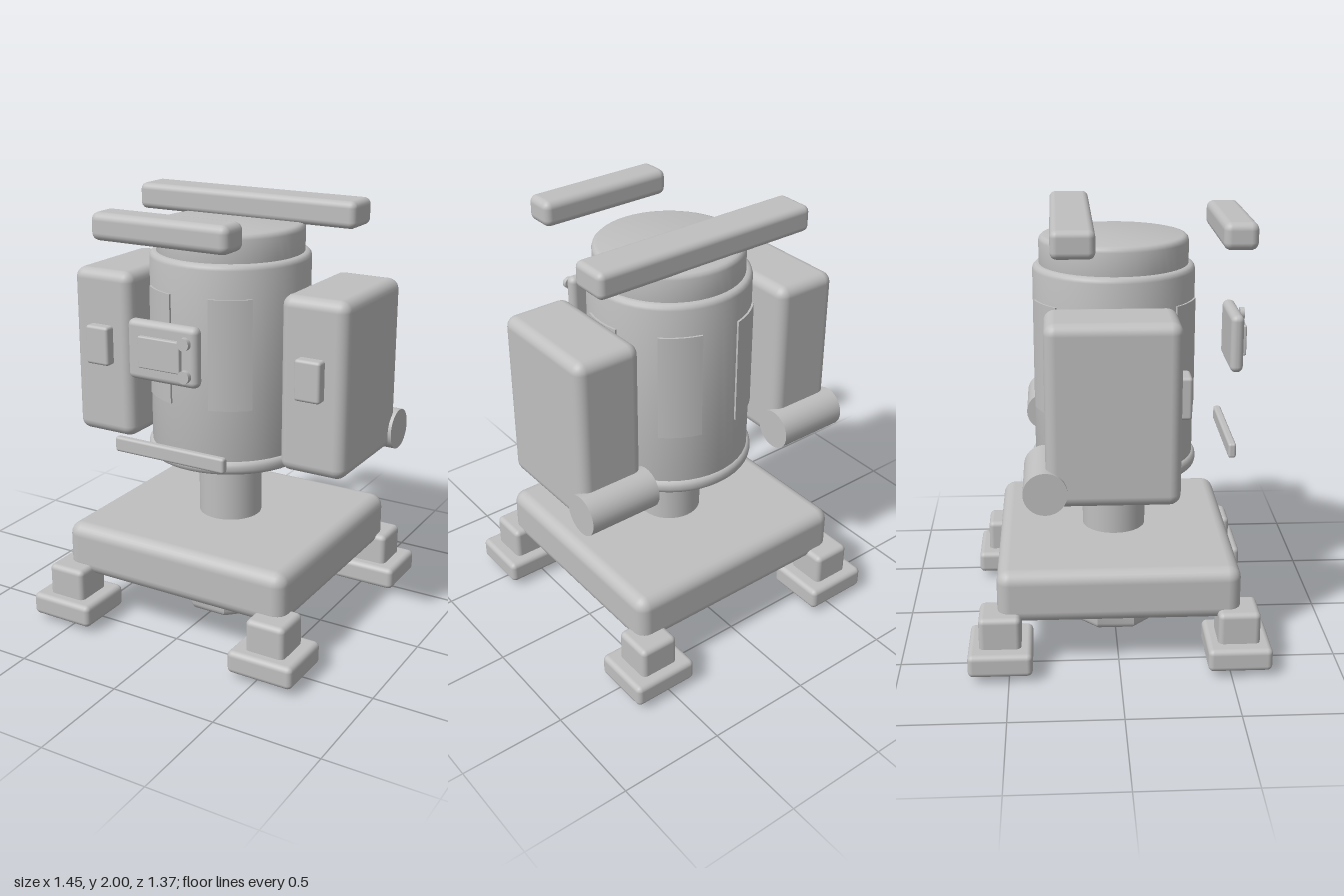
import * as THREE from 'three';
import { RoundedBoxGeometry } from 'three/addons/geometries/RoundedBoxGeometry.js';
import { toCreasedNormals } from 'three/addons/utils/BufferGeometryUtils.js';

const grey = new THREE.MeshStandardMaterial({ color: 0xbfbfbf });
grey.name = 'plain grey';

function add(parent, name, geometry, x = 0, y = 0, z = 0) {
  const mesh = new THREE.Mesh(geometry, grey);
  mesh.name = name;
  mesh.position.set(x, y, z);
  parent.add(mesh);
  return mesh;
}

// Rounded box given by its limits on each axis
function box(parent, name, [x0, x1], [y0, y1], [z0, z1], radius) {
  const geometry = new RoundedBoxGeometry(x1 - x0, y1 - y0, z1 - z0, 3, radius);
  return add(parent, name, geometry, (x0 + x1) / 2, (y0 + y1) / 2, (z0 + z1) / 2);
}

// Turned solid with rounded rims, closed at both ends
function drum(radius, y0, y1, bevel, sides, phase = 0) {
  const points = [new THREE.Vector2(0, y0)];
  for (let i = 0; i <= 3; i++) {
    const a = (i / 3) * Math.PI / 2;
    points.push(new THREE.Vector2(radius - bevel + bevel * Math.sin(a), y0 + bevel - bevel * Math.cos(a)));
  }
  for (let i = 0; i <= 3; i++) {
    const a = (i / 3) * Math.PI / 2;
    points.push(new THREE.Vector2(radius - bevel + bevel * Math.cos(a), y1 - bevel + bevel * Math.sin(a)));
  }
  points.push(new THREE.Vector2(0, y1));
  return toCreasedNormals(new THREE.LatheGeometry(points, sides, phase), 0.7);
}

// Curved plate wrapped around the body, centred on +z
function curvedPanel(inner, outer, halfAngle, height) {
  const shape = new THREE.Shape();
  const mid = -Math.PI / 2;
  shape.absarc(0, 0, outer, mid - halfAngle, mid + halfAngle, false);
  shape.absarc(0, 0, inner, mid + halfAngle, mid - halfAngle, true);
  const geometry = new THREE.ExtrudeGeometry(shape, { depth: height, bevelEnabled: false, curveSegments: 8 });
  geometry.rotateX(-Math.PI / 2);
  return toCreasedNormals(geometry, 0.6);
}

export function createModel() {
  const model = new THREE.Group();
  model.name = 'machine';

  // Base, post and bottom nozzle
  box(model, 'baseSlab', [-0.58, 0.58], [0.23, 0.48], [-0.55, 0.55], 0.06);
  add(model, 'post', new THREE.CylinderGeometry(0.15, 0.15, 0.66, 32), 0, 0.5, 0);
  add(model, 'bottomNozzle', drum(0.232, 0, 0.195, 0.03, 8, Math.PI / 8));

  // Four stepped feet
  for (const sx of [-1, 1]) {
    for (const sz of [-1, 1]) {
      const foot = new THREE.Group();
      foot.name = (sz > 0 ? 'front' : 'back') + (sx > 0 ? 'Left' : 'Right') + 'Foot';
      foot.position.set(sx * 0.535, 0, sz * 0.538);
      box(foot, 'footPad', [-0.16, 0.16], [0.03, 0.138], [-0.145, 0.145], 0.025);
      box(foot, 'footLeg', [-0.095, 0.095], [0.1, 0.285], [-0.095, 0.095], 0.025);
      model.add(foot);
    }
  }

  // Drum body with bottom lip and top cap
  add(model, 'body', drum(0.37, 0.815, 1.76, 0.025, 48));
  add(model, 'bottomLip', drum(0.387, 0.8, 0.865, 0.025, 48));
  add(model, 'topCap', drum(0.34, 1.7, 1.888, 0.025, 48));

  // Six curved panels around the body
  for (let i = 0; i < 6; i++) {
    const panel = add(model, 'bodyPanel', curvedPanel(0.36, 0.379, Math.PI / 12, 0.505), 0, 1.105, 0);
    panel.rotation.y = Math.PI / 6 + i * Math.PI / 3;
  }

  // Side pods, each with a front plate and a rear cylinder
  for (const s of [-1, 1]) {
    const pod = new THREE.Group();
    pod.name = s > 0 ? 'leftPod' : 'rightPod';
    pod.position.x = s * 0.55;
    box(pod, 'podCase', [-0.16, 0.16], [0.843, 1.645], [-0.32, 0.255], 0.05);
    box(pod, 'podPlate', [-0.062, 0.062], [1.2, 1.387], [0.22, 0.304], 0.014);
    const cylinder = add(pod, 'rearCylinder', new THREE.CylinderGeometry(0.095, 0.095, 0.352, 32), 0, 0.92, -0.323);
    cylinder.rotation.z = Math.PI / 2;
    model.add(pod);
  }

  // Bars above the body
  box(model, 'topBar', [-0.565, 0.565], [1.878, 2.0], [-0.288, -0.1], 0.03);
  box(model, 'frontBar', [-0.337, 0.337], [1.865, 1.987], [0.457, 0.61], 0.035);

  // Front control panel with screen and two knobs
  box(model, 'controlPanel', [-0.177, 0.175], [1.272, 1.54], [0.524, 0.584], 0.028);
  box(model, 'screen', [-0.107, 0.103], [1.337, 1.477], [0.57, 0.605], 0.006);
  for (const y of [1.335, 1.478]) {
    const knob = add(model, 'knob', new THREE.CylinderGeometry(0.028, 0.028, 0.022, 20), 0.135, y, 0.616);
    knob.rotation.x = Math.PI / 2;
  }

  // Lower front strip
  box(model, 'lowerStrip', [-0.283, 0.283], [0.9, 0.97], [0.511, 0.547], 0.012);

  return model;
}
